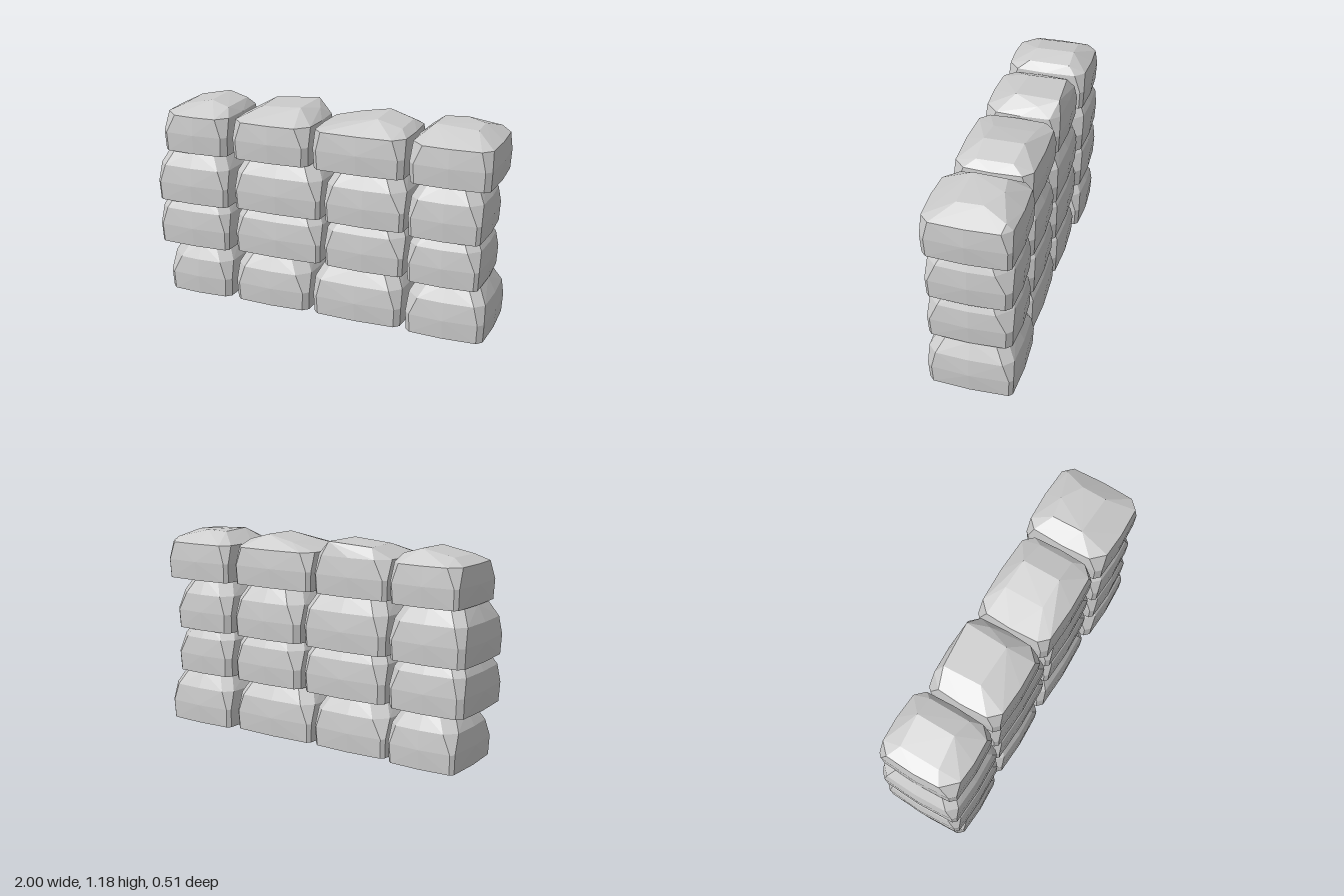
import * as THREE from 'three';
import { ConvexGeometry } from 'three/addons/geometries/ConvexGeometry.js';

// One course of four stones. x, z: widest extents; cuts: shoulder chips at the
// corners (-x-z, +x-z, +x+z, -x+z); crown: [x, y, z] points of the capping course.
const STONES = [
  { x: [-0.96, -0.53], z: [-0.25, 0.24], cuts: [0.06, 0.05, 0.06, 0.08],
    crown: [[-0.87, 0.275, -0.13], [-0.69, 0.312, -0.14], [-0.58, 0.28, -0.14],
      [-0.87, 0.27, 0.1], [-0.69, 0.308, 0.08], [-0.58, 0.28, 0.1]] },
  { x: [-0.525, -0.035], z: [-0.225, 0.235], cuts: [0.07, 0.05, 0.07, 0.06],
    crown: [[-0.4, 0.295, -0.17], [-0.14, 0.312, -0.19], [-0.09, 0.285, -0.08],
      [-0.39, 0.295, 0.05], [-0.15, 0.312, 0.06]] },
  { x: [-0.035, 0.52], z: [-0.225, 0.235], cuts: [0.06, 0.05, 0.06, 0.05],
    crown: [[0.15, 0.28, -0.13], [0.32, 0.312, -0.12], [0.46, 0.275, -0.1],
      [0.15, 0.28, 0.1], [0.32, 0.31, 0.1], [0.46, 0.272, 0.1]] },
  { x: [0.525, 1], z: [-0.255, 0.25], cuts: [0.05, 0.05, 0.05, 0.07],
    crown: [[0.63, 0.305, -0.12], [0.63, 0.312, 0.06], [0.75, 0.31, -0.14],
      [0.87, 0.305, -0.07], [0.87, 0.3, 0.07], [0.93, 0.265, -0.2]] },
];

// Rounded-rectangle ring: chipped corners plus a bulging point on every side
function ring(s, y, inset, bulge, cuts) {
  const x0 = s.x[0] + inset, x1 = s.x[1] - inset;
  const z0 = s.z[0] + inset, z1 = s.z[1] - inset;
  const mx = (x0 + x1) / 2, mz = (z0 + z1) / 2;
  const pts = [[mx, z0 - bulge], [mx, z1 + bulge], [x0 - bulge, mz], [x1 + bulge, mz]];
  [[x0, z0], [x1, z0], [x1, z1], [x0, z1]].forEach(([x, z], i) => {
    const c = cuts[i];
    pts.push([x + Math.sign(mx - x) * c, z], [x, z + Math.sign(mz - z) * c]);
  });
  return pts.map(([x, z]) => new THREE.Vector3(x, y, z));
}

function stoneGeometry(s, capped) {
  const small = [0.02, 0.02, 0.03, 0.03];
  const points = [
    ...ring(s, 0.02, 0.018, 0.01, small),
    ...ring(s, 0.13, 0.013, 0.013, small),
    ...ring(s, 0.235, 0.018, 0.008, s.cuts),
    new THREE.Vector3((s.x[0] + s.x[1]) / 2, 0.003, 0.06),
  ];
  if (capped) points.push(...s.crown.map((p) => new THREE.Vector3(...p)));
  else points.push(...ring(s, 0.325, 0.065, 0.01, s.cuts));
  return new ConvexGeometry(points);
}

export function createModel() {
  const wall = new THREE.Group();
  wall.name = 'stoneWall';
  const material = new THREE.MeshStandardMaterial({ color: 0xcccccc, flatShading: true });
  const lower = STONES.map((s) => stoneGeometry(s, false));
  const capping = STONES.map((s) => stoneGeometry(s, true));

  // Four courses; the middle two are turned around so the joints are staggered
  [0, 0.306, 0.57, 0.872].forEach((y, row) => {
    const course = new THREE.Group();
    course.name = row === 3 ? 'cappingCourse' : `course${row + 1}`;
    course.position.y = y;
    course.rotation.y = row === 1 || row === 2 ? Math.PI : 0;
    (row === 3 ? capping : lower).forEach((geometry, i) => {
      const stone = new THREE.Mesh(geometry, material);
      stone.name = `stone${row + 1}_${i + 1}`;
      course.add(stone);
    });
    wall.add(course);
  });
  return wall;
}
